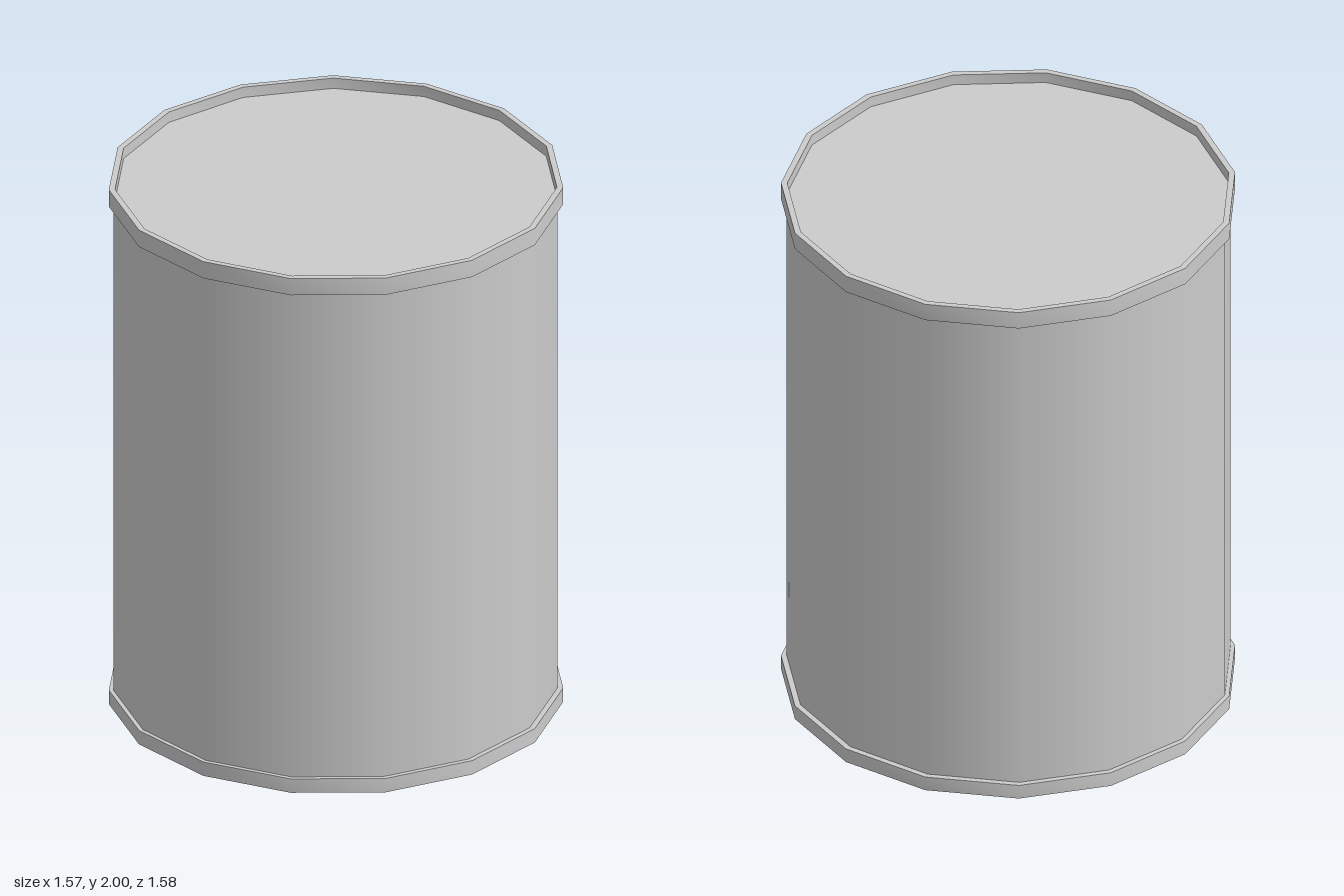
import * as THREE from 'three';
import { toCreasedNormals } from 'three/addons/utils/BufferGeometryUtils.js';

const SIDES = 15;
const START = Math.PI / 2; // first corner points along +x
const CENTRE_X = -0.009; // balances the odd-sided outline about x = 0

export function createModel() {
  const group = new THREE.Group();
  group.name = 'can';
  const material = new THREE.MeshStandardMaterial({ color: 0xcccccc });

  const add = (name, geometry, x = CENTRE_X) => {
    const mesh = new THREE.Mesh(geometry, material);
    mesh.name = name;
    mesh.position.x = x;
    group.add(mesh);
  };

  // Raised lip: a closed rectangular section swept round the can
  const rim = (y0, y1, inner = 0.772, outer = 0.794) => {
    const profile = [[inner, y0], [outer, y0], [outer, y1], [inner, y1], [inner, y0]]
      .map(([r, y]) => new THREE.Vector2(r, y));
    return toCreasedNormals(new THREE.LatheGeometry(profile, SIDES, START), 0.5);
  };

  // Body with its end discs recessed inside the rims
  const bottom = 0.04, top = 1.96;
  const body = new THREE.CylinderGeometry(0.776, 0.776, top - bottom, SIDES, 1, false, START);
  body.translate(0, (top + bottom) / 2, 0);
  add('body', body, -0.012);

  add('topRim', rim(1.935, 2));
  add('bottomRim', rim(0, 0.054));

  return group;
}
